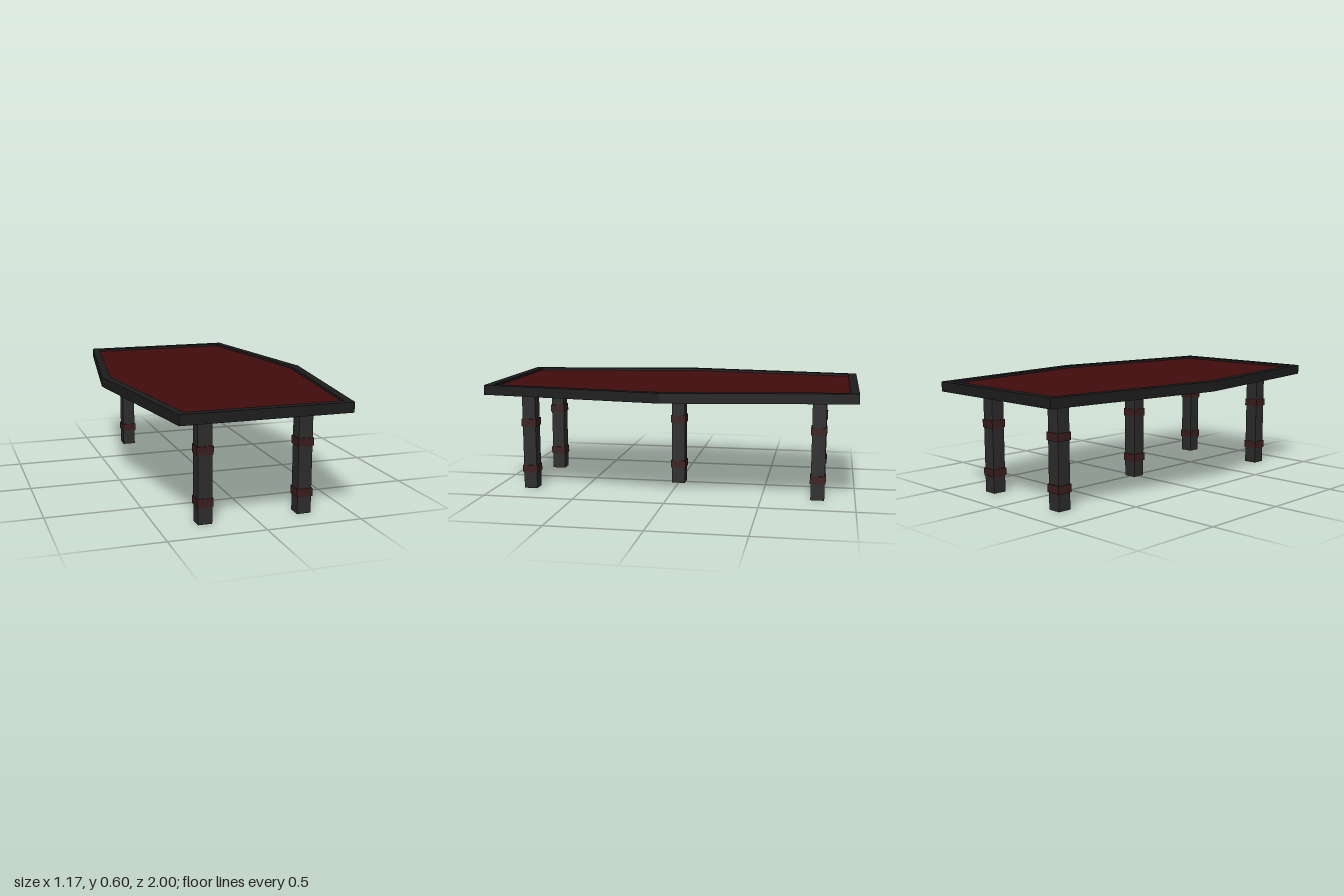
import * as THREE from 'three';

const material = (color) => new THREE.MeshStandardMaterial({ color });

// Six-sided outline: narrow at both ends, widest in the middle
const outline = (end, middle, length) =>
  [[-end, -length], [end, -length], [middle, 0], [end, length], [-end, length], [-middle, 0]]
    .map(([x, y]) => new THREE.Vector2(x, y));

// Flat slab between two heights
function slab(name, shape, y0, y1, mat) {
  const geometry = new THREE.ExtrudeGeometry(shape, { depth: y1 - y0, bevelEnabled: false });
  geometry.rotateX(-Math.PI / 2);
  geometry.translate(0, y0, 0);
  const mesh = new THREE.Mesh(geometry, mat);
  mesh.name = name;
  return mesh;
}

function box(name, width, y0, y1, mat) {
  const mesh = new THREE.Mesh(new THREE.BoxGeometry(width, y1 - y0, width), mat);
  mesh.position.y = (y0 + y1) / 2;
  mesh.name = name;
  return mesh;
}

export function createModel() {
  const model = new THREE.Group();
  model.name = 'conferenceTable';
  const frameMat = material(0x1c1c1c);
  const panelMat = material(0x420c0e);
  const legMat = material(0x2b2b2b);
  const bandMat = material(0x3a1c1c);

  // Table top: raised rim around a slightly sunken panel
  const outer = outline(0.44, 0.587, 1);
  const inner = outline(0.405, 0.54, 0.953);
  const rim = new THREE.Shape(outer);
  rim.holes.push(new THREE.Path(inner));
  model.add(slab('tableRim', rim, 0.57, 0.6, frameMat));
  model.add(slab('tableBase', new THREE.Shape(outer), 0.547, 0.57, frameMat));
  model.add(slab('tablePanel', new THREE.Shape(inner), 0.57, 0.587, panelMat));

  // Four corner legs and one in the centre, each with two bands
  for (const [x, z] of [[-0.263, -0.8], [0.263, -0.8], [0, 0], [-0.263, 0.8], [0.263, 0.8]]) {
    const leg = new THREE.Group();
    leg.name = 'leg';
    leg.position.set(x, 0, z);
    leg.add(box('legPost', 0.074, 0, 0.547, legMat));
    leg.add(box('lowerBand', 0.084, 0.09, 0.132, bandMat));
    leg.add(box('upperBand', 0.084, 0.353, 0.395, bandMat));
    model.add(leg);
  }
  return model;
}
